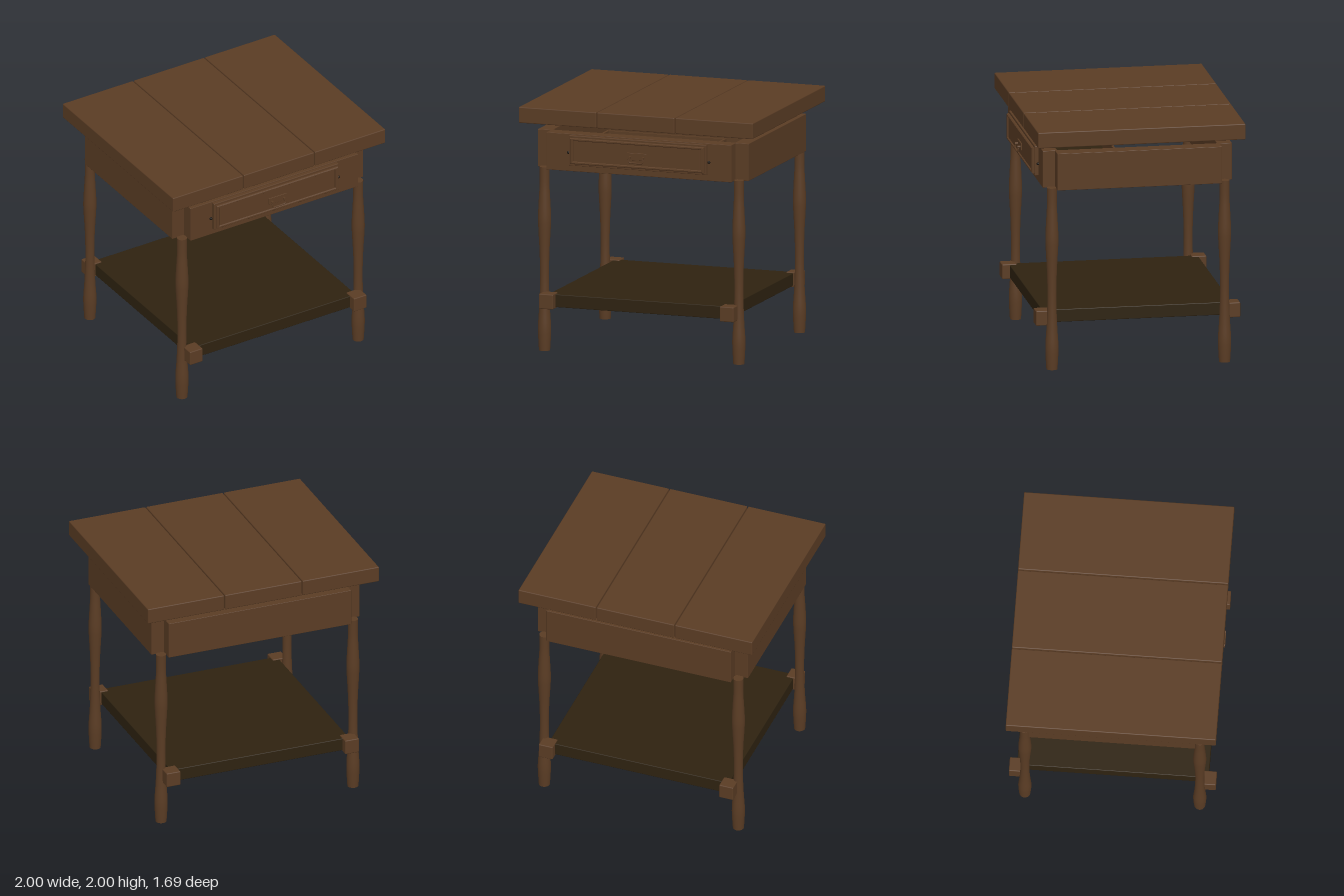
import * as THREE from 'three';
import { RoundedBoxGeometry } from 'three/addons/geometries/RoundedBoxGeometry.js';

export function createModel() {
  const model = new THREE.Group();
  model.name = 'sideTable';
  const wood = new THREE.MeshStandardMaterial({ name: 'brownWood', color: 0x5a3c24 });
  const dark = new THREE.MeshStandardMaterial({ name: 'darkWood', color: 0x2e2210 });
  const iron = new THREE.MeshStandardMaterial({ name: 'blackIron', color: 0x1c1610 });

  const add = (name, geometry, material, parent = model) => {
    const mesh = new THREE.Mesh(geometry, material);
    mesh.name = name;
    parent.add(mesh);
    return mesh;
  };
  // Box given by its limits on each axis, with softly rounded edges
  const box = (name, [x0, x1], [y0, y1], [z0, z1], material = wood, r = 0.006, parent = model) => {
    const size = [x1 - x0, y1 - y0, z1 - z0];
    const geometry = r > 0 ? new RoundedBoxGeometry(...size, 2, r) : new THREE.BoxGeometry(...size);
    const mesh = add(name, geometry, material, parent);
    mesh.position.set((x0 + x1) / 2, (y0 + y1) / 2, (z0 + z1) / 2);
    return mesh;
  };

  // Three planks of the table top
  for (const [x0, x1] of [[-1, -0.339], [-0.331, 0.331], [0.339, 1]]) {
    box('topPlank', [x0, x1], [1.87, 2], [-0.845, 0.845], wood, 0.008);
  }

  // Apron panels, leaving a notch at each corner
  const apronY = [1.49, 1.795];
  box('frontApron', [-0.79, 0.79], apronY, [0.65, 0.77], wood, 0.004);
  box('backApron', [-0.79, 0.79], apronY, [-0.77, -0.65], wood, 0.004);
  box('leftApron', [0.78, 0.9], apronY, [-0.67, 0.67], wood, 0.004);
  box('rightApron', [-0.9, -0.78], apronY, [-0.67, 0.67], wood, 0.004);

  // Turned legs and the blocks that hold the shelf corners
  const curve = new THREE.SplineCurve([
    [0.045, 0], [0.051, 0.1], [0.053, 0.2], [0.043, 0.36], [0.036, 0.58], [0.04, 0.8],
    [0.05, 0.99], [0.053, 1.09], [0.046, 1.24], [0.04, 1.36], [0.041, 1.5],
  ].map(([r, y]) => new THREE.Vector2(r, y)));
  const legGeometry = new THREE.LatheGeometry(curve.getPoints(36), 24);
  const capGeometry = new THREE.CircleGeometry(1, 24);
  for (const sx of [-1, 1]) {
    for (const sz of [-1, 1]) {
      const leg = new THREE.Group();
      leg.name = 'leg';
      leg.position.set(sx * 0.83, 0, sz * 0.703);
      add('legShaft', legGeometry, wood, leg);
      const top = add('legTop', capGeometry, wood, leg);
      top.rotation.x = -Math.PI / 2;
      top.position.y = 1.5;
      top.scale.setScalar(0.041);
      const foot = add('legFoot', capGeometry, wood, leg);
      foot.rotation.x = Math.PI / 2;
      foot.scale.setScalar(0.045);
      model.add(leg);
      const block = box('shelfBlock', [-0.06, 0.06], [0.36, 0.483], [-0.06, 0.06], wood, 0.008);
      block.position.x = sx * 0.772;
      block.position.z = sz * 0.772;
    }
  }

  // Lower shelf
  box('shelf', [-0.77, 0.77], [0.37, 0.475], [-0.77, 0.77], dark, 0.006);

  // Drawer: tray behind the apron
  const drawer = new THREE.Group();
  drawer.name = 'drawer';
  model.add(drawer);
  box('drawerBottom', [-0.51, 0.51], [1.58, 1.6], [0.12, 0.66], dark, 0, drawer);
  box('drawerBack', [-0.51, 0.51], [1.6, 1.71], [0.12, 0.14], wood, 0, drawer);
  for (const s of [-1, 1]) {
    const side = box('drawerSide', [-0.01, 0.01], [1.6, 1.71], [0.14, 0.66], wood, 0, drawer);
    side.position.x = s * 0.5;
  }

  // Drawer front: slab, raised frame and inner panel
  box('drawerFront', [-0.587, 0.587], [1.542, 1.787], [0.765, 0.8], wood, 0.005, drawer);
  const rectangle = (Type, w, h) => {
    const p = new Type();
    p.moveTo(-w, -h);
    p.lineTo(w, -h);
    p.lineTo(w, h);
    p.lineTo(-w, h);
    p.closePath();
    return p;
  };
  const frameShape = rectangle(THREE.Shape, 0.566, 0.1);
  frameShape.holes.push(rectangle(THREE.Path, 0.552, 0.09));
  const frame = add('drawerFrame', new THREE.ExtrudeGeometry(frameShape, {
    depth: 0.012, bevelEnabled: true, bevelThickness: 0.008, bevelSize: 0.006, bevelSegments: 1,
  }), wood, drawer);
  frame.position.set(0, 1.664, 0.802);
  box('drawerPanel', [-0.54, 0.54], [1.569, 1.759], [0.795, 0.813], wood, 0.004, drawer);

  // Handle: back plate, two studs and a hanging bail
  box('handlePlate', [-0.083, 0.083], [1.625, 1.684], [0.812, 0.822], wood, 0.003, drawer);
  for (const s of [-1, 1]) {
    const stud = add('handleStud', new THREE.CylinderGeometry(0.01, 0.01, 0.03, 12), wood, drawer);
    stud.rotation.x = Math.PI / 2;
    stud.position.set(s * 0.056, 1.65, 0.832);
  }
  const bail = new THREE.CatmullRomCurve3([
    [-0.056, 1.65, 0.838], [-0.06, 1.63, 0.841], [-0.058, 1.612, 0.843], [-0.045, 1.608, 0.843],
    [0.045, 1.608, 0.843], [0.058, 1.612, 0.843], [0.06, 1.63, 0.841], [0.056, 1.65, 0.838],
  ].map((p) => new THREE.Vector3(...p)));
  add('handleBail', new THREE.TubeGeometry(bail, 40, 0.006, 8), wood, drawer);

  // Small knobs beside the drawer
  for (const s of [-1, 1]) {
    const knob = add('sideKnob', new THREE.SphereGeometry(0.012, 16, 10), iron);
    knob.position.set(s * 0.6, 1.643, 0.774);
  }
  return model;
}
